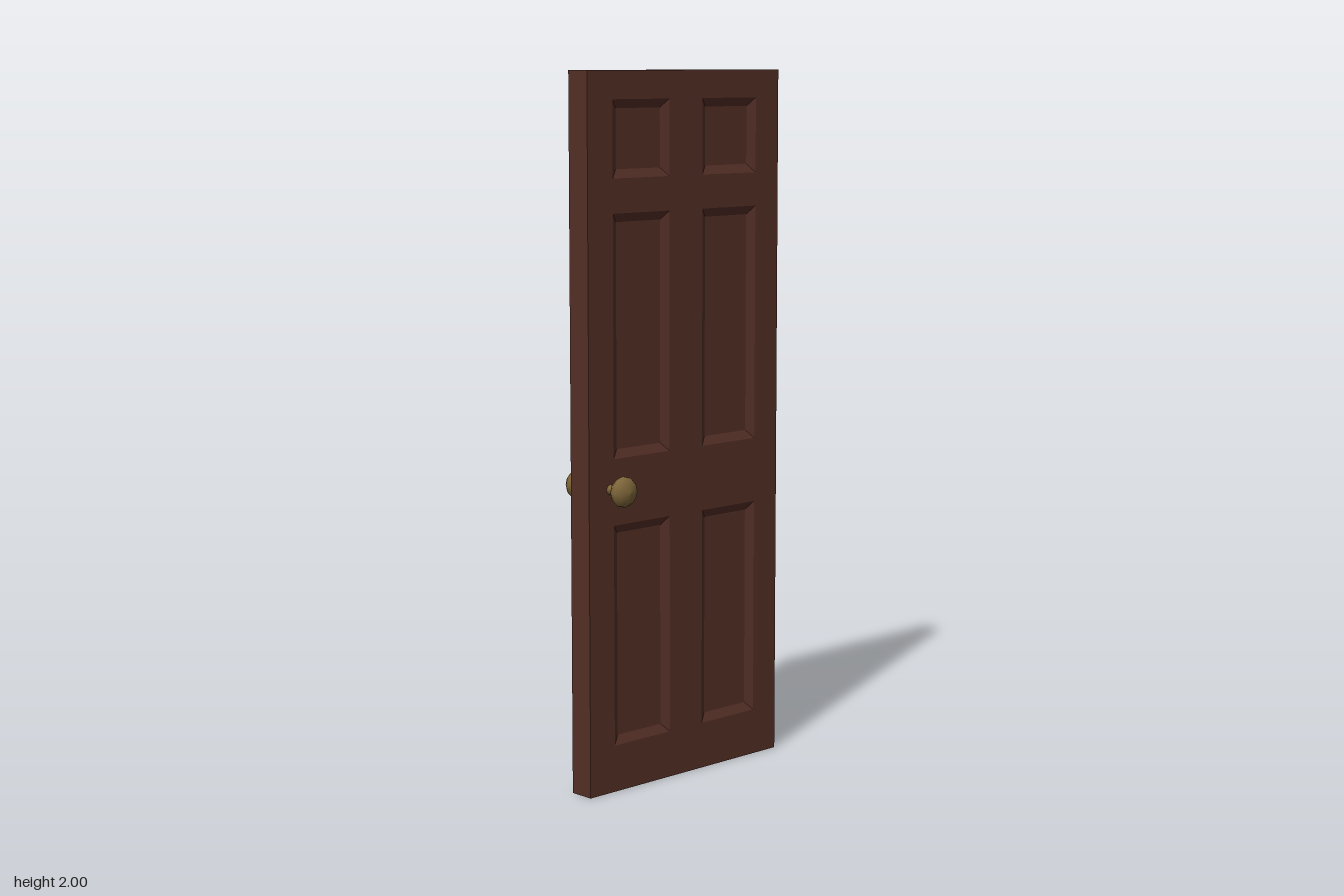
import * as THREE from 'three';

const W = 0.37, H = 2, T = 0.037;          // half width, height, half thickness
const BEVEL = 0.024, DEPTH = 0.014;        // panel moulding
const ROWS = [[0.133, 0.757], [0.943, 1.615], [1.71, 1.922]];
const COLUMNS = [[-0.278, -0.064], [0.064, 0.278]];
const PANELS = ROWS.flatMap(([y0, y1]) => COLUMNS.map(([x0, x1]) => [x0, y0, x1, y1]));

const corners = ([x0, y0, x1, y1], inset = 0) => [
  [x0 + inset, y0 + inset], [x1 - inset, y0 + inset],
  [x1 - inset, y1 - inset], [x0 + inset, y1 - inset],
];

// Sunken panel: four sloping bevels and a flat floor, facing +z
function panelGeometry(rect) {
  const positions = [
    ...corners(rect).flatMap(([x, y]) => [x, y, T]),
    ...corners(rect, BEVEL).flatMap(([x, y]) => [x, y, T - DEPTH]),
  ];
  const index = [4, 5, 6, 4, 6, 7];
  for (let i = 0; i < 4; i++) {
    const j = (i + 1) % 4;
    index.push(i, j, j + 4, i, j + 4, i + 4);
  }
  const indexed = new THREE.BufferGeometry();
  indexed.setAttribute('position', new THREE.Float32BufferAttribute(positions, 3));
  indexed.setIndex(index);
  const geometry = indexed.toNonIndexed();
  geometry.computeVertexNormals();
  return geometry;
}

export function createModel() {
  const wood = new THREE.MeshStandardMaterial({ color: 0x542f26 });
  wood.name = 'dark red wood';
  const brass = new THREE.MeshStandardMaterial({ color: 0x7d6539 });
  brass.name = 'aged brass';

  const model = new THREE.Group();
  model.name = 'door';
  const add = (parent, name, geometry, material) => {
    const mesh = new THREE.Mesh(geometry, material);
    mesh.name = name;
    parent.add(mesh);
    return mesh;
  };

  // Slab with an opening for each panel
  const toPoints = (rect) => corners(rect).map(([x, y]) => new THREE.Vector2(x, y));
  const outline = new THREE.Shape(toPoints([-W, 0, W, H]));
  outline.holes = PANELS.map((rect) => new THREE.Path(toPoints(rect).reverse()));
  const slab = new THREE.ExtrudeGeometry(outline, { depth: 2 * T, bevelEnabled: false });
  slab.translate(0, 0, -T);
  add(model, 'doorFrame', slab, wood);

  // Flattened knob, turned from a profile of [radius, distance from door centre]
  const profile = [
    [0, 0.068], [0.02, 0.069], [0.036, 0.075], [0.043, 0.087],
    [0.042, 0.098], [0.034, 0.109], [0.018, 0.116], [0, 0.119],
  ].map(([r, z]) => new THREE.Vector2(r, z));
  const knob = new THREE.LatheGeometry(profile, 12).rotateX(Math.PI / 2);
  const stem = new THREE.CylinderGeometry(0.014, 0.014, 0.044, 12, 1, true)
    .rotateX(Math.PI / 2).translate(0, 0, 0.054);

  // Both faces carry the same panels and a knob on the same edge
  for (const [side, angle] of [['front', 0], ['back', Math.PI]]) {
    const face = new THREE.Group();
    face.name = side + 'Panels';
    face.rotation.y = angle;
    PANELS.forEach((rect, i) => add(face, `${side}Panel${i + 1}`, panelGeometry(rect), wood));

    const handle = new THREE.Group();
    handle.name = side + 'Handle';
    handle.position.set(-0.291, 0.86, 0);
    handle.rotation.y = angle;
    add(handle, side + 'Stem', stem, brass);
    add(handle, side + 'Knob', knob, brass);
    model.add(face, handle);
  }
  return model;
}
